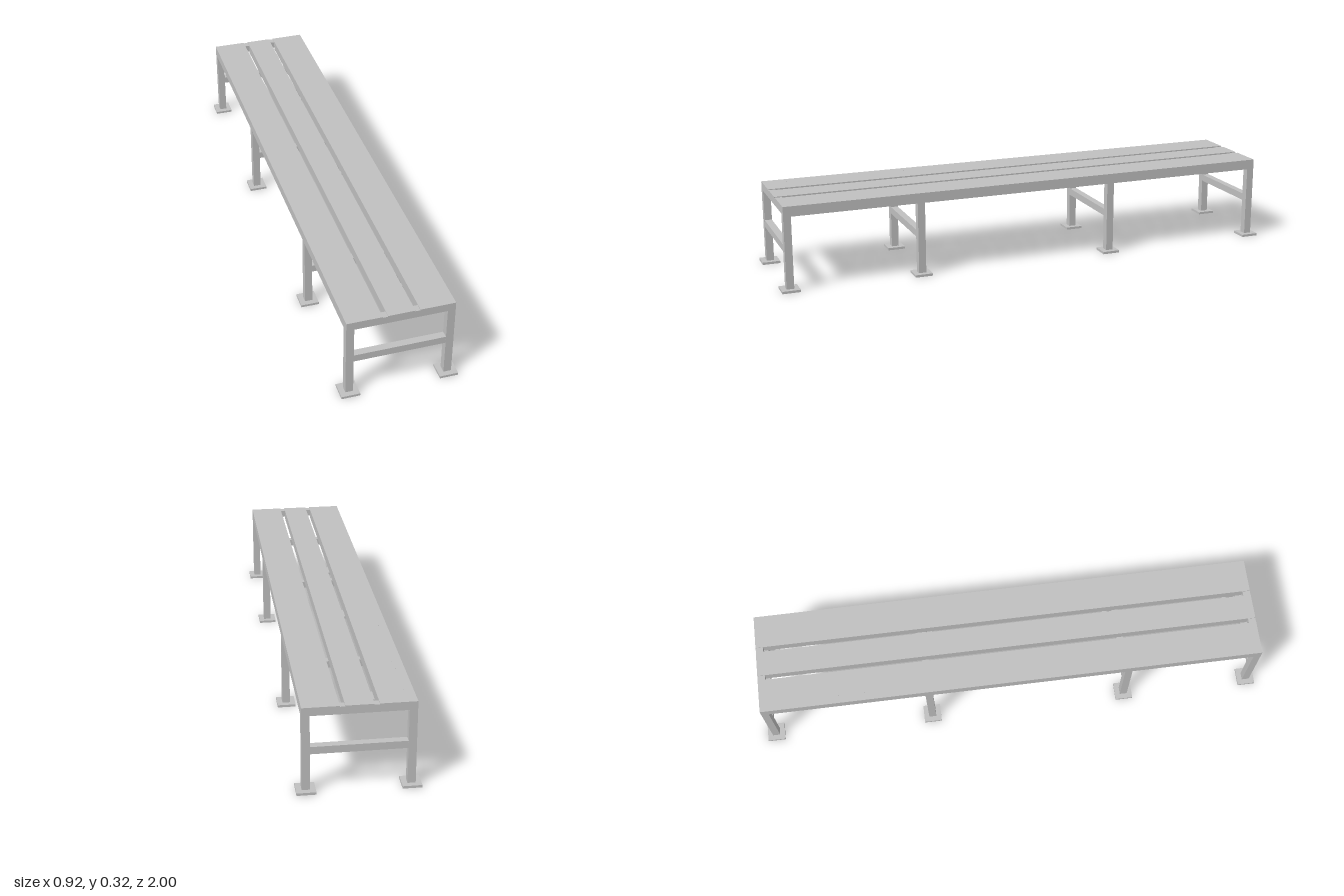
import * as THREE from 'three';

export function createModel() {
  const steel = new THREE.MeshStandardMaterial({ color: 0xc0c0c0 });
  steel.name = 'greySteel';

  const model = new THREE.Group();
  model.name = 'slattedBench';
  const bench = new THREE.Group();
  bench.name = 'bench';
  bench.rotation.y = Math.PI / 12; // the bench stands at a slant
  model.add(bench);

  const length = 1.917, width = 0.385, top = 0.3165;
  const tube = 0.028, sheet = 0.003, foot = 0.067, footHeight = 0.009;
  const frameTop = top - sheet, frameBottom = 0.286, skirtBottom = 0.2785;
  const legX = width / 2 - tube / 2, endZ = length / 2 - tube / 2;
  const innerLength = length - 2 * tube;

  // Box given by its centre in x and z and its bottom and top heights
  function box(name, x, z, y0, y1, w, d) {
    const mesh = new THREE.Mesh(new THREE.BoxGeometry(w, y1 - y0, d), steel);
    mesh.name = name;
    mesh.position.set(x, (y0 + y1) / 2, z);
    bench.add(mesh);
  }

  // Three folded sheet planks with two open slots
  const slotX = 0.057, slot = 0.018;
  const sideWidth = width / 2 - slotX - slot / 2;
  box('middlePlank', 0, 0, frameTop, top, 2 * slotX - slot, length);
  for (const s of [-1, 1]) {
    box('sidePlank', s * (width / 2 - sideWidth / 2), 0, frameTop, top, sideWidth, length);
    box('sideSkirt', s * (width / 2 - sheet / 2), 0, skirtBottom, frameTop, sheet, length);
    // Folded edges on both sides of the slot
    for (const e of [-1, 1]) {
      box('slotFlange', s * slotX + e * (slot + sheet) / 2, 0, skirtBottom, frameTop, sheet, innerLength);
    }
    box('endRail', 0, s * endZ, frameBottom, frameTop, width - 2 * sheet, tube);
  }

  // Four leg frames: two legs with foot plates, joined by a rung
  for (const z of [-endZ, -0.321, 0.447, endZ]) {
    for (const s of [-1, 1]) {
      box('leg', s * legX, z, footHeight, frameTop, tube, tube);
      box('footPlate', s * legX, z, 0, footHeight, foot, foot);
    }
    box('rung', 0, z, 0.1435, 0.1705, width - 2 * tube, 0.027);
  }

  // Row of paired flush rivets along one edge
  const rivetGeometry = new THREE.CylinderGeometry(0.003, 0.003, 0.0004, 8);
  for (let i = 0; i < 12; i++) {
    for (const dz of [-0.027, 0.027]) {
      const rivet = new THREE.Mesh(rivetGeometry, steel);
      rivet.name = 'rivet';
      rivet.position.set(-0.16, top, -0.84 + i * 0.153 + dz);
      bench.add(rivet);
    }
  }
  return model;
}
